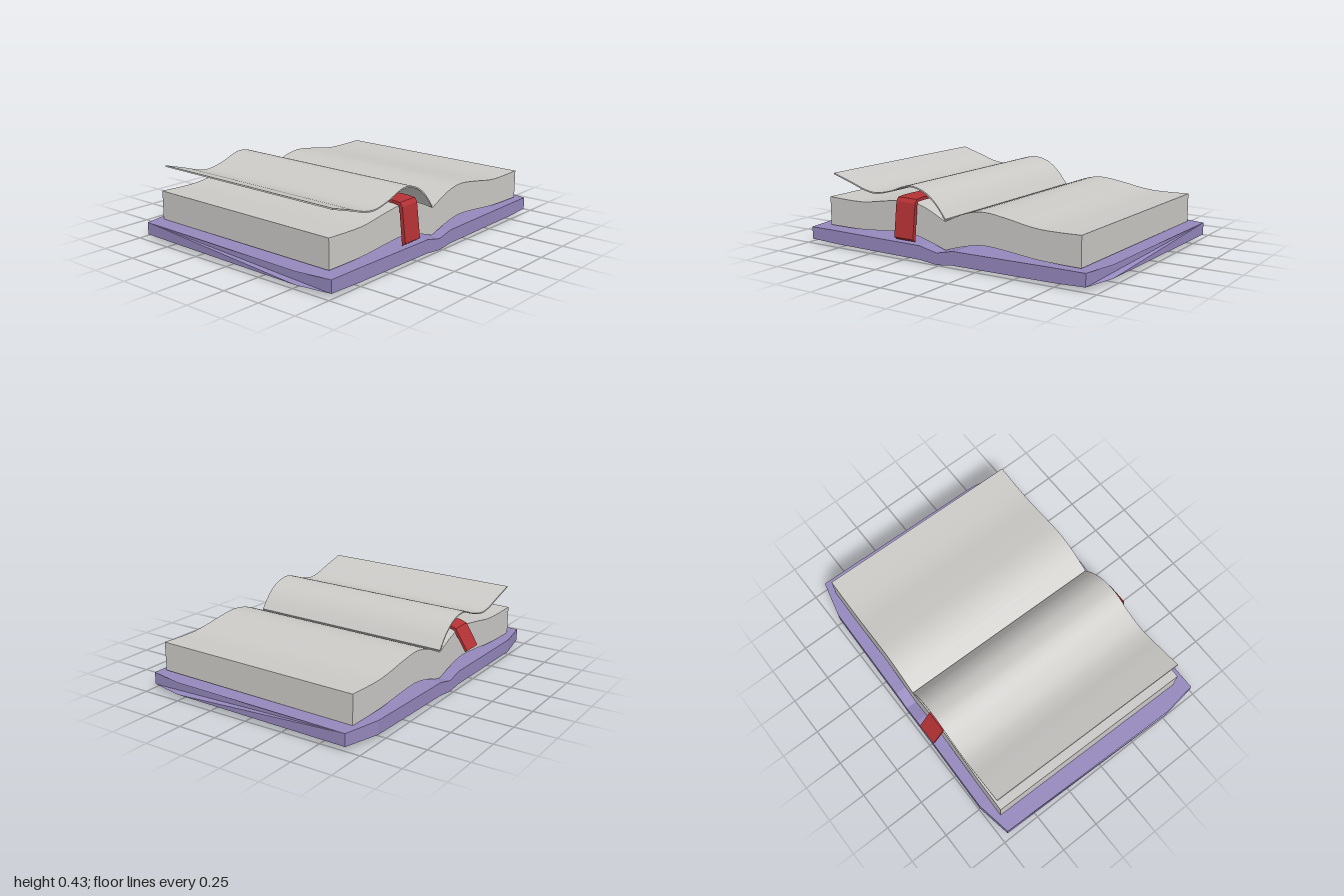
import * as THREE from 'three';
import { toCreasedNormals } from 'three/addons/utils/BufferGeometryUtils.js';

const mat = (name, color) => {
  const m = new THREE.MeshStandardMaterial({ color });
  m.name = name;
  return m;
};

// Closed solid skinned over rings of [x, y, z] points, with both ends capped
function loft(rings, crease) {
  const n = rings[0].length;
  const idx = [];
  for (let i = 0; i < rings.length - 1; i++) {
    for (let j = 0; j < n; j++) {
      const a = i * n + j, b = i * n + (j + 1) % n;
      idx.push(a, b, b + n, a, b + n, a + n);
    }
  }
  const last = (rings.length - 1) * n;
  for (let j = 1; j < n - 1; j++) {
    idx.push(0, j + 1, j, last, last + j, last + j + 1);
  }
  const geo = new THREE.BufferGeometry();
  geo.setAttribute('position', new THREE.Float32BufferAttribute(rings.flat(2), 3));
  geo.setIndex(idx);
  return toCreasedNormals(geo, crease);
}

// Smooth height curve through [x, y] points, sampled in even steps
function curve(points, steps) {
  const c = new THREE.SplineCurve(points.map(p => new THREE.Vector2(...p)));
  return c.getPoints(steps);
}

// Sheet or block of paper lying slightly turned on the cover
function paper(top, bottom, zBack, zFront) {
  const place = (x, y, z) => [x + 0.005 - 0.017 * z, y + 0.004 * z, z + 0.022 * x];
  return loft(top.map((t, i) => {
    const b = bottom[i];
    return [place(t.x, t.y, zBack), place(t.x, t.y, zFront),
      place(b.x, b.y, zFront), place(b.x, b.y, zBack)];
  }), 0.5);
}

export function createModel() {
  const model = new THREE.Group();
  model.name = 'openBook';
  const purple = mat('coverPurple', 0x9588bd);
  const white = mat('paperGrey', 0xcbcac7);
  const red = mat('ribbonRed', 0xb53235);
  const add = (name, geo, material) => {
    const mesh = new THREE.Mesh(geo, material);
    mesh.name = name;
    model.add(mesh);
  };

  // Cover: x at back / middle / front, z at back, top and bottom heights
  const stations = [
    [-0.97, -1.0, -0.97, -0.705, 0.10, 0.025],
    [-0.75, -0.76, -0.76, -0.745, 0.10, 0.018],
    [-0.10, -0.13, -0.14, -0.732, 0.095, 0.013],
    [0.01, -0.01, -0.02, -0.73, 0.07, 0.0],
    [0.12, 0.10, 0.09, -0.728, 0.095, 0.013],
    [0.77, 0.76, 0.75, -0.715, 0.10, 0.018],
    [1.0, 0.975, 0.93, -0.66, 0.10, 0.025],
  ];
  add('cover', loft(stations.map(([xb, xm, xf, zb, t, b]) => [
    [xb, t, zb], [xm, t, 0.52], [xf, t, 0.74],
    [xf, b, 0.74], [xm, b, 0.52], [xb, b, zb],
  ]), 0.12), purple);

  // Page block: two arched halves meeting at the gutter
  const leftTop = [[-0.885, 0.28], [-0.63, 0.277], [-0.42, 0.308], [-0.27, 0.324], [-0.14, 0.3], [0, 0.237]];
  const leftBottom = [[-0.885, 0.104], [-0.63, 0.108], [-0.42, 0.127], [-0.27, 0.135], [-0.14, 0.113], [0, 0.071]];
  const half = (pts, side) => {
    const c = curve(pts.map(([x, y]) => [x * side, y]), 20);
    return side > 0 ? c : c.reverse();
  };
  const whole = pts => [...half(pts, 1), ...half(pts, -1).slice(1)];
  add('pageBlock', paper(whole(leftTop), whole(leftBottom), -0.66, 0.675), white);

  // Raised loose page curling up over the left half
  const sheet = curve([[-0.85, 0.43], [-0.7, 0.386], [-0.6, 0.355], [-0.51, 0.346], [-0.4, 0.37],
    [-0.31, 0.404], [-0.24, 0.414], [-0.15, 0.392], [-0.07, 0.335], [0, 0.25]], 40);
  const under = sheet.map(p => new THREE.Vector2(p.x - 0.003, p.y - 0.008));
  add('loosePage', paper(sheet, under, -0.66, 0.672), white);

  // Ribbon bookmark: outer z, y and inner z, y along its length
  const path = [
    [0.728, 0.118, 0.705, 0.102], [0.702, 0.325, 0.682, 0.315], [0.685, 0.348, 0.672, 0.332],
    [0.63, 0.353, 0.63, 0.335], [-0.62, 0.343, -0.62, 0.325], [-0.665, 0.328, -0.652, 0.315],
    [-0.745, 0.203, -0.733, 0.195],
  ];
  add('ribbon', loft(path.map(([zo, yo, zi, yi]) => {
    const x = -0.249 - 0.023 * zo, w = 0.068;
    return [[x - w, yo, zo], [x + w, yo, zo], [x + w, yi, zi], [x - w, yi, zi]];
  }), 0.3), red);

  return model;
}
